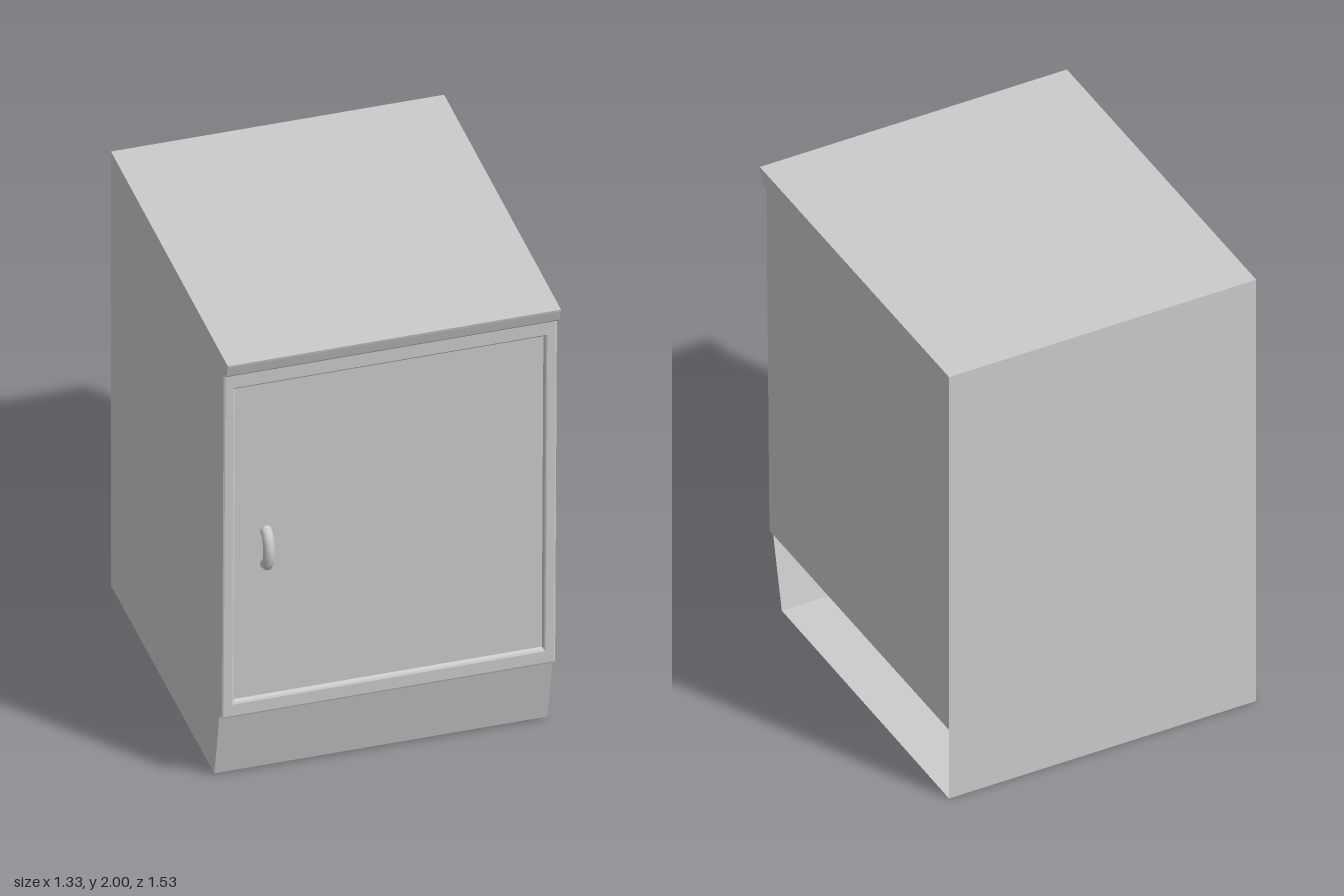
import * as THREE from 'three';

const W = 0.665; // half width
const PLINTH = 0.325; // top of the recessed plinth
const mat = new THREE.MeshStandardMaterial({ color: 0xcccccc, side: THREE.DoubleSide, flatShading: true });
const smooth = new THREE.MeshStandardMaterial({ color: 0xcccccc, side: THREE.DoubleSide });

// side outline as [z, y]
const back = [[-0.765, 0], [-0.765, 2]];
const topEdge = [[0.768, 2], [0.766, 1.99], [0.751, 1.943], [0.737, 1.93], [0.714, 1.93]];
const lip = [[0.69, PLINTH], [0.66, PLINTH]];
const toe = [0.59, 0.01];

function add(group, name, geometry, material = mat) {
  const mesh = new THREE.Mesh(geometry, material);
  mesh.name = name;
  group.add(mesh);
  return mesh;
}

// each quad is four [x, y, z] corners, counter-clockwise from outside
function quads(list) {
  const pos = [];
  for (const [a, b, c, d] of list) pos.push(...a, ...b, ...c, ...a, ...c, ...d);
  const g = new THREE.BufferGeometry();
  g.setAttribute('position', new THREE.Float32BufferAttribute(pos, 3));
  g.computeVertexNormals();
  return g;
}

// sweeps a [z, y] outline across the cabinet's width
function strip(points) {
  const list = [];
  for (let i = 0; i < points.length - 1; i++) {
    const [az, ay] = points[i], [bz, by] = points[i + 1];
    list.push([[-W, ay, az], [-W, by, bz], [W, by, bz], [W, ay, az]]);
  }
  return quads(list);
}

// flat side wall from a [z, y] outline
function side(points, x) {
  const shape = new THREE.Shape(points.map(([z, y]) => new THREE.Vector2(z, y)));
  return new THREE.ShapeGeometry(shape).rotateY(-Math.PI / 2).translate(x, 0, 0);
}

// rectangle on the gently sloping front: half width, bottom, top, offset
function frontLoop([w, bottom, top, offset]) {
  const z = y => 0.69 + (y - PLINTH) / (1.93 - PLINTH) * 0.024 + offset;
  return [[-w, bottom], [w, bottom], [w, top], [-w, top]].map(([x, y]) => [x, y, z(y)]);
}

export function createModel() {
  const model = new THREE.Group();
  model.name = 'cabinet';

  // shell: back, top with its rolled front edge, lip, plinth and floor
  add(model, 'backPanel', strip(back));
  add(model, 'worktop', strip([back[1], ...topEdge]));
  add(model, 'bottomLip', strip(lip));
  add(model, 'plinthFront', strip([lip[1], toe]));
  add(model, 'floor', strip([toe, back[0]]));

  // the right wall reaches the floor, the left one stops above the open plinth
  add(model, 'rightWall', side([...back, ...topEdge, ...lip, toe], -W));
  add(model, 'leftWall', side([[-0.765, PLINTH], back[1], ...topEdge, lip[0]], W));

  // door: slightly rounded frame stepping down to the recessed panel
  const loops = [
    [W, PLINTH, 1.93, 0],
    [W - 0.006, PLINTH + 0.008, 1.922, 0.003],
    [0.626, 0.385, 1.858, 0.003],
    [0.62, 0.393, 1.852, -0.001],
    [0.615, 0.4, 1.846, -0.012],
  ].map(frontLoop);
  const frame = [];
  for (let k = 0; k < loops.length - 1; k++) {
    for (let i = 0; i < 4; i++) {
      const j = (i + 1) % 4;
      frame.push([loops[k][i], loops[k][j], loops[k + 1][j], loops[k + 1][i]]);
    }
  }
  add(model, 'doorFrame', quads(frame));
  add(model, 'doorPanel', quads([loops[loops.length - 1]]));

  // bowed handle made of a few straight tube sections
  const path = new THREE.CatmullRomCurve3(
    [[1.165, 0.675], [1.152, 0.712], [1.088, 0.732], [1.02, 0.714], [1.003, 0.675]]
      .map(([y, z]) => new THREE.Vector3(-0.49, y, z)));
  add(model, 'handle', new THREE.TubeGeometry(path, 6, 0.023, 12), smooth);

  return model;
}
